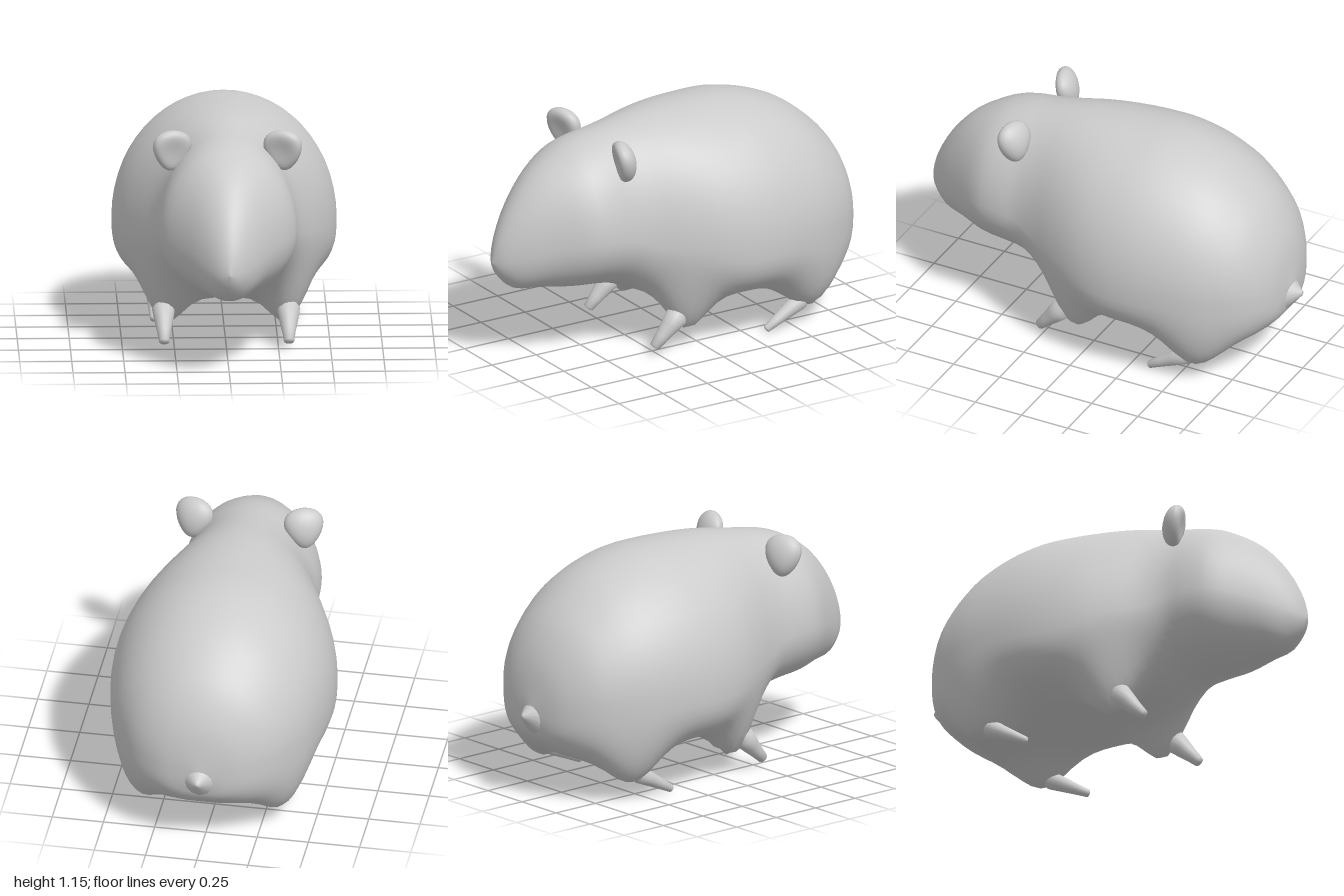
import * as THREE from 'three';

const material = new THREE.MeshStandardMaterial({ color: 0xcccccc });

// Body cross-sections from nose to rump: z, top y, bottom y, half width, y of widest point
const SECTIONS = [
  [1.0, 0.53, 0.53, 0, 0.53],
  [0.97, 0.655, 0.46, 0.06, 0.54],
  [0.89, 0.81, 0.385, 0.135, 0.57],
  [0.77, 0.95, 0.37, 0.22, 0.61],
  [0.62, 1.045, 0.35, 0.315, 0.64],
  [0.5, 1.085, 0.34, 0.335, 0.64],
  [0.39, 1.105, 0.32, 0.335, 0.62],
  [0.28, 1.125, 0.275, 0.37, 0.58],
  [0.15, 1.145, 0.235, 0.435, 0.56],
  [0, 1.155, 0.215, 0.5, 0.55],
  [-0.15, 1.157, 0.212, 0.535, 0.54],
  [-0.3, 1.152, 0.212, 0.54, 0.54],
  [-0.45, 1.12, 0.21, 0.52, 0.54],
  [-0.6, 1.06, 0.2, 0.48, 0.53],
  [-0.72, 0.975, 0.19, 0.42, 0.52],
  [-0.82, 0.875, 0.225, 0.345, 0.51],
  [-0.89, 0.755, 0.28, 0.25, 0.49],
  [-0.93, 0.63, 0.34, 0.15, 0.47],
  [-0.952, 0.46, 0.46, 0, 0.46],
];

// Downward swellings of the belly where the legs grow out: x, z, depth, spread x, spread z
const SHOULDER = [0.3, 0.09, 0.185, 0.12, 0.13];
const HAUNCH = [0.34, -0.58, 0.155, 0.14, 0.16];

function swelling([bx, bz, depth, sx, sz], x, z) {
  return depth * Math.exp(-(((Math.abs(x) - bx) / sx) ** 2) - ((z - bz) / sz) ** 2);
}

// Smooth interpolation through the section table
function sectionAt(t) {
  const n = SECTIONS.length - 1;
  const i = Math.min(Math.floor(t), n - 1);
  const row = (k) => SECTIONS[Math.max(0, Math.min(n, k))];
  const f = t - i;
  return SECTIONS[0].map((_, c) => {
    const p0 = row(i - 1)[c], p1 = row(i)[c], p2 = row(i + 1)[c], p3 = row(i + 2)[c];
    return p1 + 0.5 * f * (p2 - p0 + f * (2 * p0 - 5 * p1 + 4 * p2 - p3 + f * (3 * (p1 - p2) + p3 - p0)));
  });
}

function createBody() {
  const sides = 56, rings = (SECTIONS.length - 1) * 3;
  const positions = [], indices = [];
  for (let i = 0; i <= rings; i++) {
    const [z, top, bottom, w, cy] = sectionAt(i / 3);
    // The lower half grows squarer from the shoulders back
    const power = 2 / (2 + 0.8 * THREE.MathUtils.smoothstep(-z, -0.25, 0.2));
    for (let j = 0; j < sides; j++) {
      const a = (j / sides) * Math.PI * 2;
      let s = Math.sin(a), c = Math.cos(a);
      if (s < 0) {
        s = -Math.pow(-s, power);
        c = Math.sign(c) * Math.pow(Math.abs(c), power);
      }
      const x = w * c;
      let y = cy + s * (s > 0 ? top - cy : cy - bottom);
      if (s < 0) {
        const low = THREE.MathUtils.smoothstep(-s, 0, 0.7);
        y -= low * (swelling(SHOULDER, x, z) + swelling(HAUNCH, x, z));
      }
      positions.push(x, y, z);
      if (i < rings) {
        const k = i * sides, j2 = (j + 1) % sides;
        const p = k + j, q = k + j2, r = p + sides, t = q + sides;
        indices.push(p, r, q, q, r, t);
      }
    }
  }
  const geometry = new THREE.BufferGeometry();
  geometry.setAttribute('position', new THREE.Float32BufferAttribute(positions, 3));
  geometry.setIndex(indices);
  geometry.computeVertexNormals();
  return geometry;
}

// Tapered limb pointing from a buried root to its tip; radii are spread evenly along it
function createLimb(name, root, tip, radii) {
  const from = new THREE.Vector3(...root);
  const dir = new THREE.Vector3(...tip).sub(from);
  const length = dir.length();
  const profile = radii.map((r, i) => new THREE.Vector2(r, (length * i) / (radii.length - 1)));
  profile.push(new THREE.Vector2(0, length * 1.02));
  const mesh = new THREE.Mesh(new THREE.LatheGeometry(profile, 14), material);
  mesh.name = name;
  mesh.position.copy(from);
  mesh.quaternion.setFromUnitVectors(new THREE.Vector3(0, 1, 0), dir.normalize());
  return mesh;
}

// Rounded ear, narrower at its base, with a shallow hollow in its front face
function createEar(side) {
  const geometry = new THREE.SphereGeometry(1, 24, 16);
  const p = geometry.attributes.position;
  for (let i = 0; i < p.count; i++) {
    const x = p.getX(i), y = p.getY(i), z = p.getZ(i);
    p.setX(i, x * (1 + 0.3 * y));
    if (z > 0) p.setZ(i, z * (0.45 + 0.55 * (x * x + y * y)));
  }
  geometry.scale(0.092, 0.102, 0.062);
  geometry.computeVertexNormals();
  const ear = new THREE.Mesh(geometry, material);
  ear.name = side > 0 ? 'leftEar' : 'rightEar';
  ear.position.set(side * 0.268, 1.022, 0.425);
  ear.rotation.set(0.2, side * -0.3, side * 0.1);
  return ear;
}

export function createModel() {
  const model = new THREE.Group();
  model.name = 'rodent';

  const body = new THREE.Mesh(createBody(), material);
  body.name = 'body';
  model.add(body);

  for (const side of [1, -1]) {
    const label = side > 0 ? 'left' : 'right';
    model.add(
      createEar(side),
      createLimb(label + 'FrontLeg', [side * 0.3, 0.22, 0.1], [side * 0.3, 0.045, 0.268], [0.02, 0.056, 0.046, 0.034, 0.025]),
      createLimb(label + 'HindLeg', [side * 0.325, 0.16, -0.6], [side * 0.335, 0.02, -0.345], [0.015, 0.045, 0.036, 0.027, 0.019]),
    );
  }

  // Tail stub
  model.add(createLimb('tail', [0, 0.415, -0.88], [0, 0.43, -0.997], [0.12, 0.07, 0.012]));
  return model;
}
